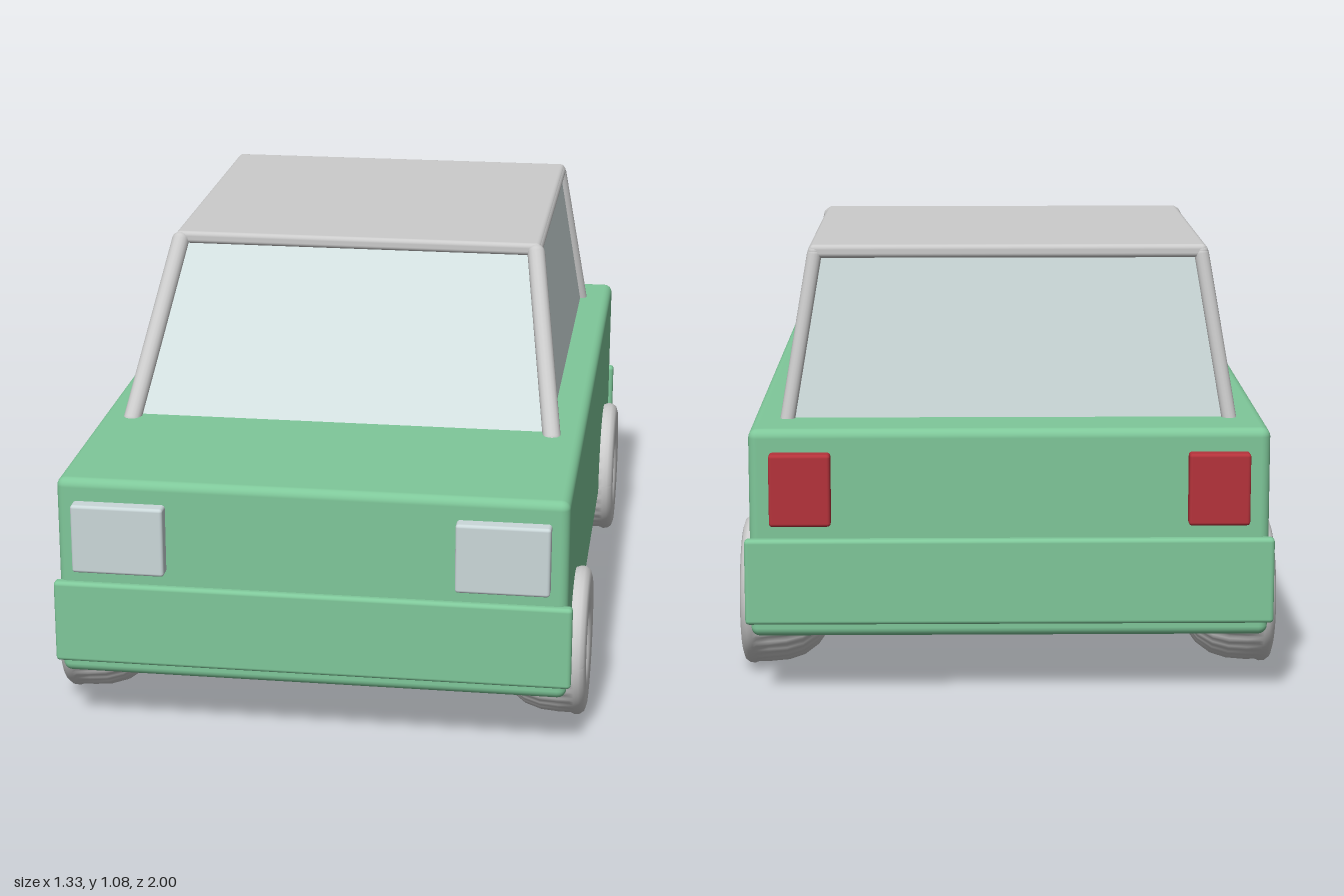
import * as THREE from 'three';
import { RoundedBoxGeometry } from 'three/addons/geometries/RoundedBoxGeometry.js';

const paint = (color) => new THREE.MeshStandardMaterial({ color });
const grey = paint(0xcccccc);
const green = paint(0x7fc89a);
const glass = paint(0xd3e0e0);
const lamp = paint(0xcbd8da);
const red = paint(0xb5333b);

function add(group, name, geometry, material) {
  const mesh = new THREE.Mesh(geometry, material);
  mesh.name = name;
  group.add(mesh);
  return mesh;
}

// Rounded box given by its extents on each axis
function block(group, name, material, [x0, x1], [y0, y1], [z0, z1], radius) {
  const mesh = add(group, name, new RoundedBoxGeometry(x1 - x0, y1 - y0, z1 - z0, 3, radius), material);
  mesh.position.set((x0 + x1) / 2, (y0 + y1) / 2, (z0 + z1) / 2);
  return mesh;
}

// Round bar between two points
function bar(group, name, a, b, radius) {
  const path = new THREE.LineCurve3(new THREE.Vector3(...a), new THREE.Vector3(...b));
  add(group, name, new THREE.TubeGeometry(path, 1, radius, 16), grey);
  for (const end of [a, b]) {
    add(group, name + 'End', new THREE.SphereGeometry(radius, 16, 10), grey).position.set(...end);
  }
}

// Tapered greenhouse: a box whose corners are moved to the sloping window planes
function cabinGeometry() {
  const geometry = new THREE.BoxGeometry(1, 1, 1).toNonIndexed();
  const p = geometry.attributes.position;
  for (let i = 0; i < p.count; i++) {
    const top = p.getY(i) > 0;
    const front = p.getZ(i) > 0;
    const z = front ? (top ? 0.155 : 0.46) : (top ? -0.74 : -0.805);
    p.setXYZ(i, Math.sign(p.getX(i)) * (top ? 0.475 : 0.54), top ? 1.06 : 0.65, z);
  }
  geometry.computeVertexNormals();
  return geometry;
}

// Wheel turned about y: fluted dome inside, rounded tyre and dished hub outside
function wheelGeometry() {
  const profile = [
    [0, -0.215], [0.045, -0.208], [0.1, -0.188], [0.14, -0.16], [0.166, -0.125], [0.179, -0.085],
    [0.183, -0.04], [0.183, -0.01], [0.187, 0], [0.186, 0.012], [0.178, 0.023], [0.162, 0.028],
    [0.115, 0.027], [0.094, 0.024], [0.086, 0.014], [0.078, 0.005], [0.06, 0.002], [0, 0.004],
  ].map(([r, y]) => new THREE.Vector2(r, y));
  const geometry = new THREE.LatheGeometry(profile, 144);
  const p = geometry.attributes.position;
  for (let i = 0; i < p.count; i++) {
    const y = p.getY(i);
    if (y > -0.03) continue;
    const k = 1 - 0.012 * (1 + Math.cos(36 * Math.atan2(p.getZ(i), p.getX(i))));
    p.setXYZ(i, p.getX(i) * k, y, p.getZ(i) * k);
  }
  geometry.computeVertexNormals();
  return geometry;
}

export function createModel() {
  const car = new THREE.Group();
  car.name = 'car';

  // Body and bumpers
  block(car, 'body', green, [-0.625, 0.625], [0.15, 0.66], [-0.965, 0.965], 0.022);
  block(car, 'frontBumper', green, [-0.637, 0.637], [0.185, 0.395], [0.95, 0.981], 0.01);
  block(car, 'rearBumper', green, [-0.637, 0.637], [0.185, 0.395], [-0.985, -0.954], 0.01);

  // Windows and roof
  add(car, 'windows', cabinGeometry(), glass);
  block(car, 'roof', grey, [-0.485, 0.485], [1.045, 1.078], [-0.757, 0.172], 0.012);

  const wheel = wheelGeometry();
  for (const side of [1, -1]) {
    const label = side > 0 ? 'left' : 'right';

    // Pillars and roof rails
    bar(car, label + 'FrontPillar', [side * 0.473, 1.053, 0.165], [side * 0.545, 0.652, 0.475], 0.023);
    bar(car, label + 'RearPillar', [side * 0.473, 1.053, -0.743], [side * 0.54, 0.652, -0.808], 0.018);
    bar(car, label + 'RoofRail', [side * 0.473, 1.06, 0.16], [side * 0.473, 1.06, -0.743], 0.016);

    // Lights
    const span = (a, b) => (side > 0 ? [a, b] : [-b, -a]);
    block(car, label + 'Headlight', lamp, span(0.355, 0.583), [0.43, 0.605], [0.95, 1], 0.008);
    block(car, label + 'TailLight', red, span(0.428, 0.575), [0.43, 0.605], [-1, -0.95], 0.008);

    // Wheels
    for (const [end, z] of [['Front', 0.677], ['Rear', -0.633]]) {
      const mesh = add(car, label + end + 'Wheel', wheel, grey);
      mesh.position.set(side * 0.637, 0.188, z);
      mesh.rotation.z = -side * Math.PI / 2;
    }
  }
  return car;
}
